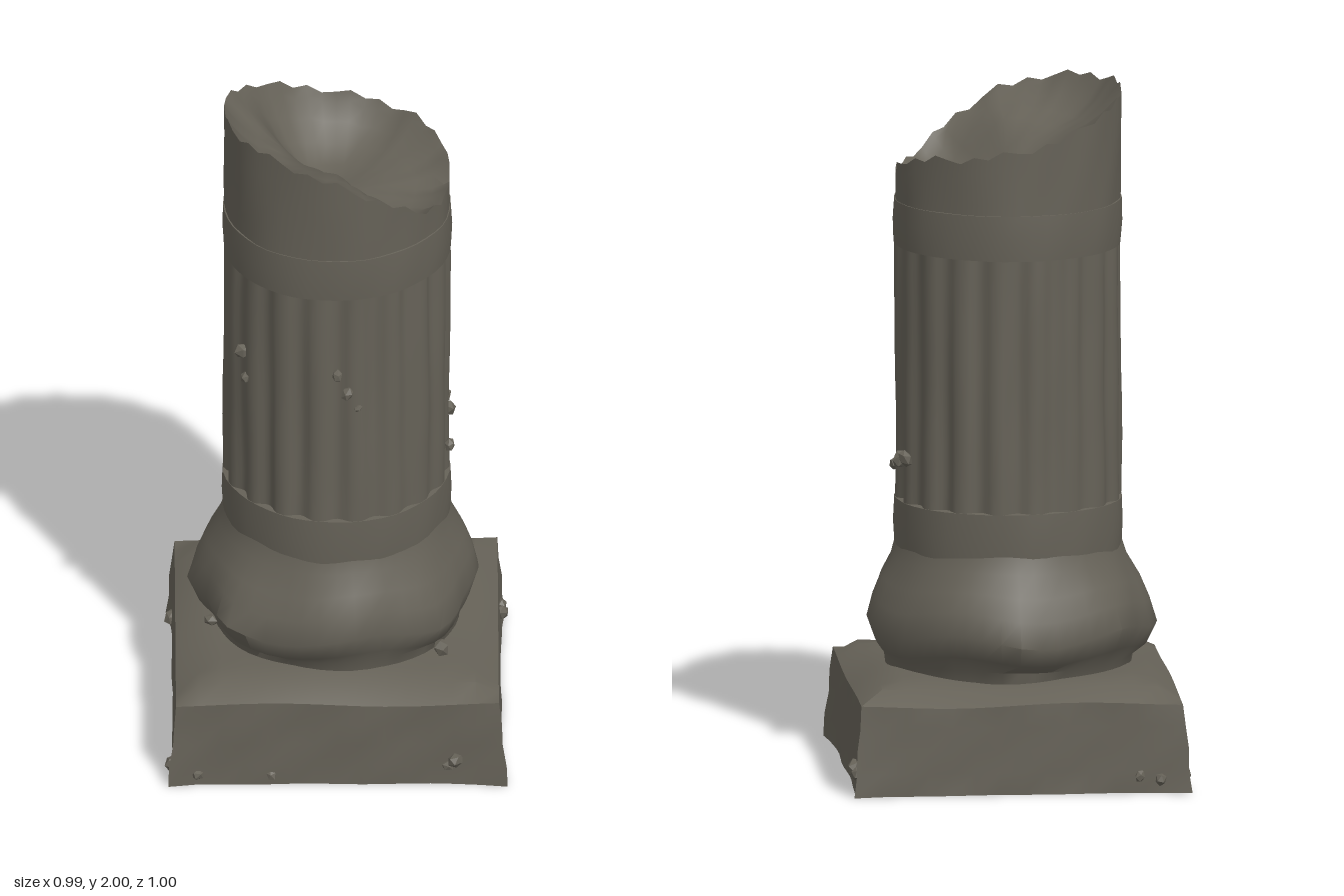
import * as THREE from 'three';
import { toCreasedNormals } from 'three/addons/utils/BufferGeometryUtils.js';

const TAU = Math.PI * 2;

// Smooth, repeatable unevenness for worn stone
const wear = (a, y) => Math.sin(3 * a + 5 * y) * 0.5 + Math.sin(7 * a - 9 * y + 1) * 0.3 + Math.sin(13 * a + 17 * y) * 0.2;

// Value at angle a from a ring of evenly spaced samples
function ringSample(values, a) {
  const f = ((a / TAU) % 1 + 1) % 1 * values.length;
  const i = Math.floor(f) % values.length;
  return THREE.MathUtils.lerp(values[i], values[(i + 1) % values.length], f - Math.floor(f));
}

// Round skin: rows of rings, each point given by rule(row, angle) -> [radius, y]
function ringSkin(rows, cols, rule, crease = 0.6) {
  const pos = [], index = [];
  for (let r = 0; r < rows; r++) {
    for (let c = 0; c < cols; c++) {
      const a = (c / cols) * TAU;
      const [rad, y] = rule(r, a, c);
      pos.push(rad * Math.cos(a), y, rad * Math.sin(a));
      if (r === rows - 1) continue;
      const n = (c + 1) % cols, p = r * cols + c, q = r * cols + n;
      index.push(p, p + cols, q, q, p + cols, q + cols);
    }
  }
  const g = new THREE.BufferGeometry();
  g.setAttribute('position', new THREE.Float32BufferAttribute(pos, 3));
  g.setIndex(index);
  return toCreasedNormals(g, crease);
}

// Square base: flared, chipped corners and a sloping upper face
function plinthGeometry() {
  const g = new THREE.BoxGeometry(0.93, 0.26, 0.93, 14, 4, 14);
  const p = g.attributes.position;
  for (let i = 0; i < p.count; i++) {
    let x = p.getX(i), y = p.getY(i) + 0.13, z = p.getZ(i);
    const edge = Math.max(Math.abs(x), Math.abs(z));
    const corner = Math.min(Math.abs(x), Math.abs(z)) / 0.465;
    if (y > 0.255) {
      y += 0.05 * THREE.MathUtils.smoothstep(0.465 - edge, 0, 0.1) + 0.006 * Math.sin(9 * x + 7 * z);
    } else if (edge > 0.46) {
      const low = 1 - y / 0.26;
      const k = 1 + 0.016 * low + 0.035 * low * corner ** 8
        + 0.012 * Math.sin(19 * x + 31 * y) * Math.sin(17 * z + 23 * y + 1);
      x *= k;
      z *= k;
    }
    p.setXYZ(i, x, y, z);
  }
  g.computeVertexNormals();
  return toCreasedNormals(g, 0.7);
}

export function createModel() {
  const model = new THREE.Group();
  const stone = new THREE.MeshStandardMaterial({ color: 0x656157 });
  const add = (name, geometry, parent = model) => {
    const mesh = new THREE.Mesh(geometry, stone);
    mesh.name = name;
    parent.add(mesh);
    return mesh;
  };

  add('plinth', plinthGeometry());

  // Swollen, uneven moulding between plinth and shaft
  const bulge = [0.41, 0.4, 0.43, 0.41, 0.42, 0.42, 0.45, 0.42, 0.44, 0.41, 0.43, 0.42, 0.45, 0.43, 0.42, 0.41];
  const mould = [[0.35, 0.27, 0], [0.36, 0.335, 0.1], [0.395, 0.37, 0.7], [0.42, 0.43, 1], [0.4, 0.5, 0.8], [0.375, 0.56, 0.5], [0.34, 0.62, 0.15], [0.325, 0.67, 0]];
  add('baseMoulding', ringSkin(mould.length, 48, (r, a) => {
    const [rad, y, k] = mould[r];
    return [rad + k * (ringSample(bulge, a) - 0.425 + 0.008 * wear(a, y)), y + 0.018 * k * Math.sin(5 * a + 1)];
  }, 0.8));

  // Fluted shaft
  const FLUTES = 18;
  add('flutedShaft', ringSkin(9, FLUTES * 8, (r, a) => {
    const y = 0.76 + r * 0.1;
    const flute = Math.max(0, Math.sin(FLUTES * a / 2) ** 2 - 0.2);
    const worn = 0.55 + 0.45 * Math.sin(2 * a + 4 * y);
    return [0.326 - 0.024 * flute * (0.6 + 0.4 * worn) + 0.004 * wear(a, y), y];
  }, 0.9));

  // Plain bands below and above the flutes
  const band = (name, y0, y1) => {
    const prof = [[0.29, y0], [0.327, y0 + 0.004], [0.331, (y0 + y1) / 2], [0.328, y1 - 0.004], [0.3, y1]];
    add(name, ringSkin(prof.length, 48, (r, a) => [prof[r][0] + 0.004 * wear(a, prof[r][1]), prof[r][1]]));
  };
  band('lowerBand', 0.64, 0.795);
  band('upperBand', 1.53, 1.67);

  // Broken top: jagged slanting rim, then an uneven hollow inside
  const rim = [1.75, 1.74, 1.77, 1.85, 1.92, 1.96, 1.98, 1.985, 1.99, 1.96, 1.93, 1.88, 1.85, 1.83, 1.82, 1.8];
  const inner = [1, 0.95, 0.85, 0.7, 0.5, 0.25, 0];
  add('brokenTop', ringSkin(4 + inner.length, 48, (r, a, c) => {
    const jag = ((c * 7) % 5 - 2) * 0.006;
    const top = ringSample(rim, a) + jag;
    if (r < 4) {
      const y = THREE.MathUtils.lerp(1.65, top, r / 4);
      return [0.325 + 0.006 * wear(a, y), y];
    }
    const k = inner[r - 4];
    const x = 0.32 * k * Math.cos(a), z = 0.32 * k * Math.sin(a);
    // high shelf on one side, stepping down to the floor of the break
    const shelf = THREE.MathUtils.smoothstep(-0.75 * x + 0.65 * z, -0.02, 0.12);
    const floor = 1.7 + 0.15 * shelf + 0.012 * Math.sin(14 * x + 9 * z);
    return [0.325 * k + (k === 1 ? 0.006 * wear(a, top) : 0), THREE.MathUtils.lerp(floor, top, k ** 4)];
  }, 0.8));

  // Loose chips clinging to the surface: position and size
  const chips = new THREE.Group();
  chips.name = 'chips';
  model.add(chips);
  [
    [-0.27, 1.28, 0.18, 0.03], [-0.26, 1.2, 0.19, 0.025], [0.0, 1.28, 0.32, 0.022], [0.03, 1.22, 0.32, 0.025],
    [0.06, 1.17, 0.315, 0.016], [0.32, 0.92, -0.1, 0.03], [0.31, 0.93, -0.15, 0.028], [0.325, 0.88, 0.04, 0.022],
    [0.34, 0.08, 0.475, 0.03], [0.32, 0.06, 0.47, 0.02], [0.475, 0.07, -0.37, 0.03], [0.475, 0.06, -0.43, 0.025],
    [-0.475, 0.04, 0.42, 0.03], [-0.4, 0.03, 0.465, 0.025], [-0.19, 0.03, 0.47, 0.02], [-0.475, 0.04, -0.4, 0.028],
    [-0.4, 0.04, -0.475, 0.025], [-0.34, 0.05, -0.475, 0.02], [-0.36, 0.33, 0.1, 0.025], [0.3, 0.33, 0.26, 0.03],
  ].forEach(([x, y, z, s], i) => {
    const chip = add('chip', new THREE.IcosahedronGeometry(s, 0), chips);
    chip.position.set(x, y, z);
    chip.rotation.set(i * 1.3, i * 0.7, i * 2.1);
    chip.scale.set(1, 0.8, 0.7);
  });

  return model;
}
